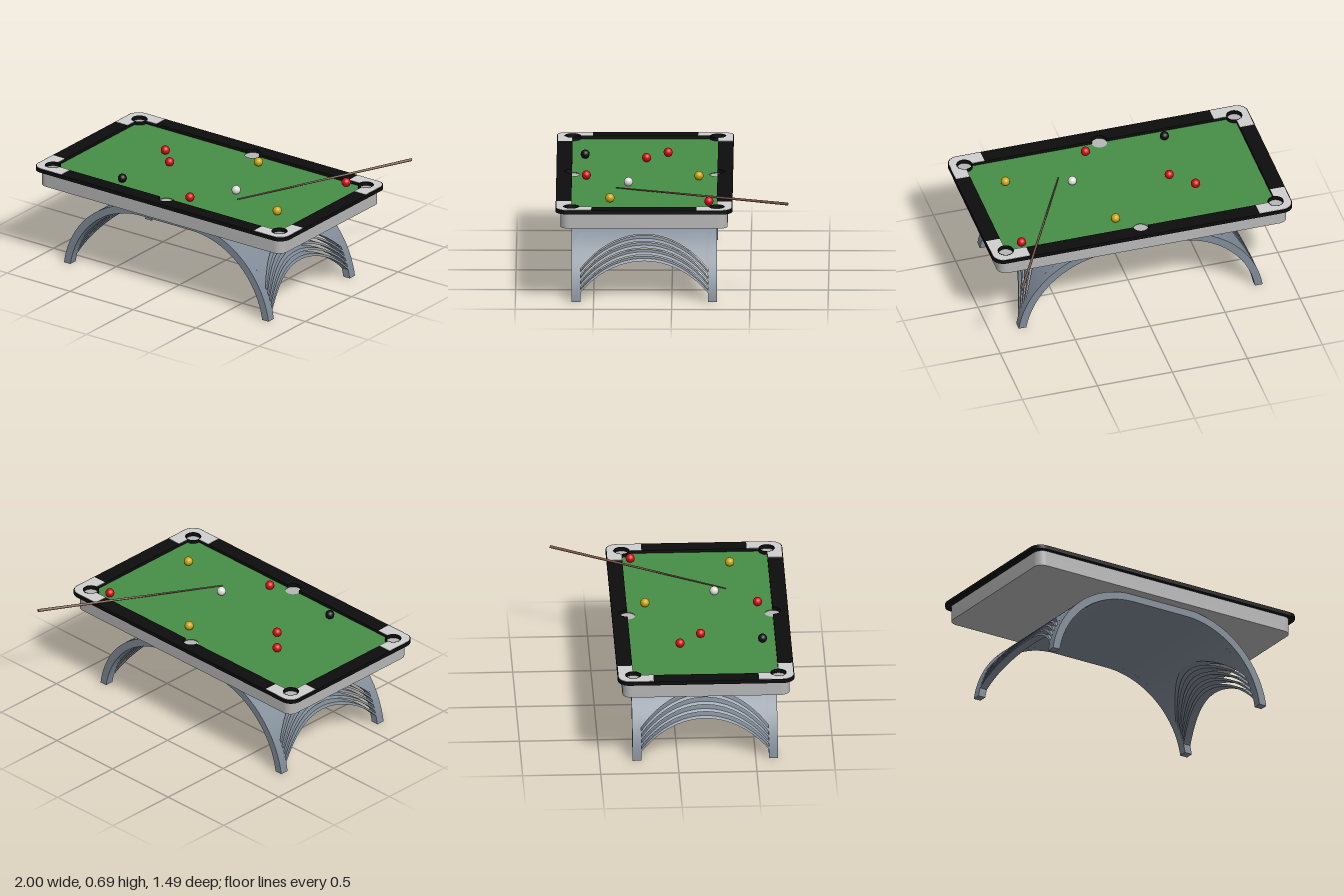
import * as THREE from 'three';
import { toCreasedNormals } from 'three/addons/utils/BufferGeometryUtils.js';

const mat = (name, color) => {
  const m = new THREE.MeshStandardMaterial({ color });
  m.name = name;
  return m;
};

export function createModel() {
  const M = {
    black: mat('black', 0x0d0d0d),
    body: mat('light grey', 0xb6b6b6),
    corner: mat('pale grey', 0xcfcfcf),
    cloth: mat('green cloth', 0x478e47),
    leg: mat('slate', 0x7f8a96),
    red: mat('red', 0xd00a14),
    yellow: mat('yellow', 0xcaa40a),
    white: mat('white', 0xdcdcdc),
    wood: mat('brown wood', 0x785846),
  };
  const model = new THREE.Group();
  const table = new THREE.Group();
  table.name = 'table';
  table.position.z = 0.177;
  model.add(table);

  const add = (parent, name, geo, material) => {
    const mesh = new THREE.Mesh(geo, material);
    mesh.name = name;
    parent.add(mesh);
    return mesh;
  };

  // points on an arc, angles in degrees
  const arc = (cx, cy, r, a0, a1, n) => Array.from({ length: n + 1 }, (_, i) => {
    const a = THREE.MathUtils.degToRad(a0 + (a1 - a0) * i / n);
    return new THREE.Vector2(cx + r * Math.cos(a), cy + r * Math.sin(a));
  });
  const flip = (pts, sx, sz) => pts.map(p => new THREE.Vector2(p.x * sx, p.y * sz));
  // closed outline from one quadrant
  const fourWay = q => [...q, ...flip(q, -1, 1).reverse(), ...flip(q, -1, -1), ...flip(q, 1, -1).reverse()];
  // horizontal slab below a given top height
  const slab = (outline, top, height, hole) => {
    const s = new THREE.Shape(outline);
    if (hole) s.holes.push(new THREE.Path(hole));
    const g = new THREE.ExtrudeGeometry(s, { depth: height, bevelEnabled: false });
    g.rotateX(Math.PI / 2).translate(0, top, 0);
    return toCreasedNormals(g, 0.6);
  };
  const rounded = (hx, hz, r) => fourWay(arc(hx - r, hz - r, r, 0, 90, 10));

  const FX = 0.9, FZ = 0.465, P = 0.05; // field half sizes and pocket radius

  // body, bed and rail
  add(table, 'body', slab(rounded(0.965, 0.535, 0.06), 0.628, 0.103), M.body);
  const bed = fourWay([...arc(FX, FZ, P, -90, -180, 10), ...arc(0, FZ, P, 0, -84, 10)]);
  add(table, 'bed', slab(bed, 0.632, 0.004), M.cloth);
  const opening = fourWay([...arc(FX, FZ, P, -90, 180, 28), ...arc(0, FZ, P, 0, 84, 10)]);
  add(table, 'rail', slab(rounded(1, 0.565, 0.075), 0.652, 0.025, opening), M.black);

  // corner plates and pocket rings
  const plate = [
    new THREE.Vector2(0.765, FZ), new THREE.Vector2(0.765, 0.559),
    ...arc(0.924, 0.489, 0.07, 90, 0, 8),
    new THREE.Vector2(0.994, 0.337), new THREE.Vector2(FX, 0.337),
    ...arc(FX, FZ, P, -90, 180, 28),
  ];
  const ring = new THREE.Shape().absarc(0, 0, 0.052, 0, Math.PI * 2);
  for (const sx of [1, -1]) for (const sz of [1, -1]) {
    add(table, 'cornerPlate', slab(flip(plate, sx, sz), 0.654, 0.003), M.corner);
    add(table, 'pocketRing', slab(ring.getPoints(18), 0.6545, 0.026, arc(0, 0, 0.047, 0, 350, 35)), M.black)
      .position.set(sx * FX, 0, sz * FZ);
  }

  // arched base: flat crown with circular sides
  const base = new THREE.Group();
  base.name = 'base';
  table.add(base);
  const CX = 0.2, CY = -0.092, RO = 0.62, RI = 0.57, ZI = 0.408, ZO = 0.465;
  const shellX = (r, y) => CX + Math.sqrt(r * r - (y - CY) ** 2);
  const archSlice = (y0, z0, z1) => {
    const deg = r => THREE.MathUtils.radToDeg(Math.asin((y0 - CY) / r));
    const outer = arc(CX, CY, RO, deg(RO), 90, 24), inner = arc(CX, CY, RI, deg(RI), 90, 24);
    const s = new THREE.Shape([
      ...outer, ...flip(outer, -1, 1).reverse(),
      ...flip(inner, -1, 1), ...inner.slice().reverse(),
    ]);
    const g = new THREE.ExtrudeGeometry(s, { depth: z1 - z0, bevelEnabled: false });
    return toCreasedNormals(g.translate(0, 0, z0), 0.5);
  };
  add(base, 'frontArch', archSlice(0, ZI, ZO), M.leg);
  add(base, 'backArch', archSlice(0, -ZO, -ZI), M.leg);
  add(base, 'crown', archSlice(0.4, -ZI, ZI), M.leg);

  // curved strip of the shell between two heights that vary along z
  const shellStrip = (low, high, rows) => {
    const cols = 32, ring = 2 * (rows + 1), pos = [], idx = [];
    for (let i = 0; i <= cols; i++) {
      const z = -ZI + 2 * ZI * i / cols;
      for (let j = 0; j < ring; j++) {
        const out = j <= rows, t = (out ? j : ring - 1 - j) / rows;
        const y = THREE.MathUtils.lerp(low(z), high(z), t);
        pos.push(shellX(out ? RO : RI, y), y, z);
        if (i === cols) continue;
        const a = i * ring + j, b = i * ring + (j + 1) % ring;
        idx.push(a, b, b + ring, a, b + ring, a + ring);
      }
    }
    const g = new THREE.BufferGeometry();
    g.setAttribute('position', new THREE.Float32BufferAttribute(pos, 3));
    g.setIndex(idx);
    return toCreasedNormals(g, 0.5);
  };
  const R = 0.537;
  const bow = peak => z => peak - R + Math.sqrt(R * R - z * z);
  const panel = shellStrip(bow(0.39), () => 0.4, 6);
  const bars = [0.37, 0.334, 0.298, 0.262].map(p => shellStrip(bow(p - 0.016), bow(p), 1));
  for (const turn of [0, Math.PI]) {
    const side = new THREE.Group();
    side.name = turn ? 'rightSide' : 'leftSide';
    side.rotation.y = turn;
    base.add(side);
    add(side, 'sidePanel', panel, M.leg);
    bars.forEach(g => add(side, 'archBar', g, M.leg));
  }

  // balls
  const ballGeo = new THREE.SphereGeometry(0.029, 24, 16);
  const balls = [
    ['red', -0.46, 0.03], ['red', -0.325, 0.167], ['red', 0.78, -0.237], ['red', 0.12, 0.55],
    ['yellow', 0.133, -0.17], ['yellow', 0.7, 0.396], ['white', 0.288, 0.28], ['black', -0.41, 0.56],
  ];
  for (const [c, x, z] of balls) add(model, c + 'Ball', ballGeo, M[c]).position.set(x, 0.659, z);

  // cue stick resting on the rail
  const tip = new THREE.Vector3(0.358, 0.638, 0.358), butt = new THREE.Vector3(0.927, 0.679, -0.742);
  const dir = butt.clone().sub(tip);
  const cue = add(model, 'cue', new THREE.CylinderGeometry(0.0095, 0.004, dir.length(), 16), M.wood);
  cue.position.copy(tip).add(butt).multiplyScalar(0.5);
  cue.quaternion.setFromUnitVectors(new THREE.Vector3(0, 1, 0), dir.normalize());

  return model;
}
